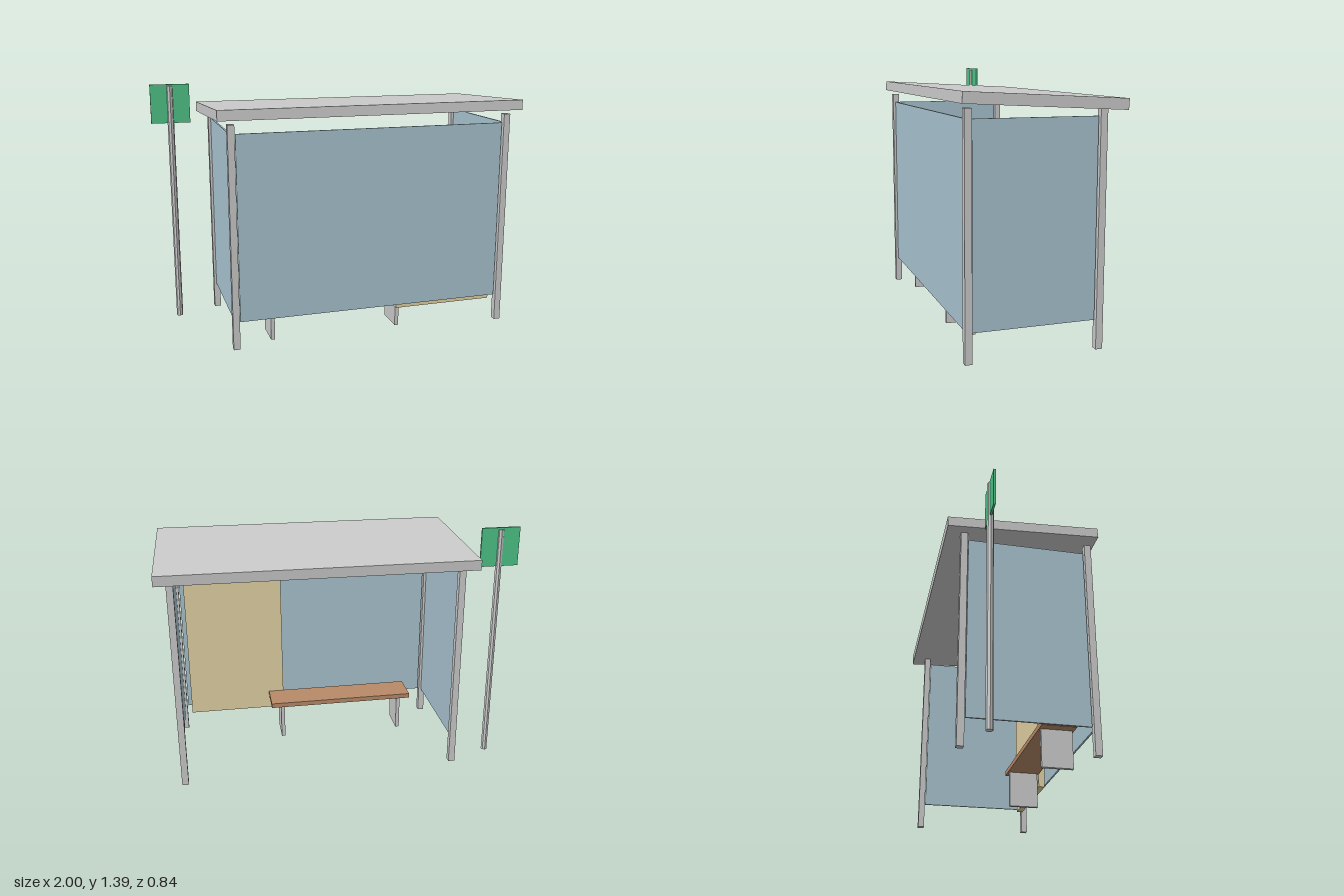
import * as THREE from 'three';

const mat = (color) => new THREE.MeshStandardMaterial({ color, flatShading: true });

export function createModel() {
  const model = new THREE.Group();
  const grey = mat(0xcccccc);
  const glass = mat(0xa9c4d0);
  const beige = mat(0xe3d2a4);
  const wood = mat(0xb88a68);
  const green = mat(0x4fc488);

  function add(name, geometry, material, x, y, z) {
    const mesh = new THREE.Mesh(geometry, material);
    mesh.name = name;
    mesh.position.set(x, y, z);
    model.add(mesh);
    return mesh;
  }

  // Box given by its extents along each axis
  const box = (name, material, [x0, x1], [y0, y1], [z0, z1]) =>
    add(name, new THREE.BoxGeometry(x1 - x0, y1 - y0, z1 - z0), material,
      (x0 + x1) / 2, (y0 + y1) / 2, (z0 + z1) / 2);

  // Corner posts and the end panes between them
  const post = 0.0185;
  for (const [side, x] of [['right', -0.647], ['left', 0.922]]) {
    for (const [end, z] of [['Front', 0.372], ['Back', -0.318]]) {
      box(`${side}${end}Post`, grey, [x - post, x + post], [0, 1.23], [z - post, z + post]);
    }
    box(`${side}GlassPane`, glass, [x - 0.005, x + 0.005], [0.153, 1.18], [-0.294, 0.348]);
  }

  // Long pane
  box('longGlassPane', glass, [-0.623, 0.898], [0.153, 1.18], [0.367, 0.377]);

  // Sloping roof slab
  const roof = add('roof', new THREE.BoxGeometry(1.72, 0.056, 0.836), grey, 0.14, 1.26, 0);
  roof.rotation.x = -0.0524;

  // Display panel on the inside of the long pane
  box('displayPanel', beige, [0.288, 0.873], [0.125, 1.01], [0.316, 0.353]);

  // Bench
  box('benchSeat', wood, [-0.5, 0.38], [0.208, 0.236], [0.13, 0.32]);
  for (const x of [-0.43, 0.31]) {
    box('benchSupport', grey, [x - 0.011, x + 0.011], [0, 0.208], [0.14, 0.31]);
  }

  // Stop sign plate on its own pole
  add('signPole', new THREE.CylinderGeometry(0.0185, 0.0185, 1.38, 8), grey, -0.89, 0.69, -0.222);
  box('signPlate', green, [-1, -0.78], [1.17, 1.39], [-0.228, -0.216]);

  return model;
}
